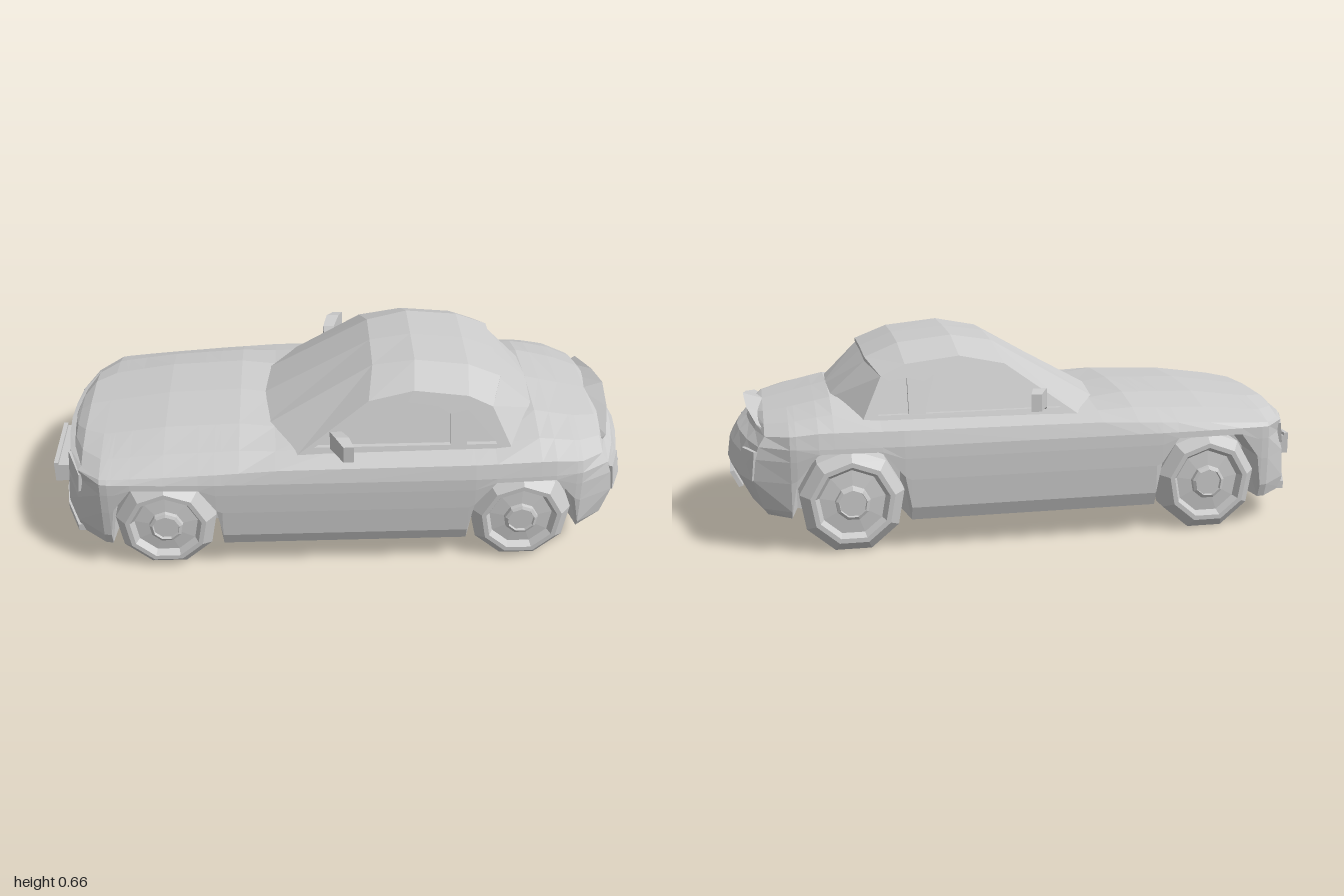
import * as THREE from 'three';

const mat = new THREE.MeshStandardMaterial({ color: 0xcccccc, flatShading: true, side: THREE.DoubleSide });

// Piecewise-linear lookup through [x, y] points
function lerpAt(pts, x) {
  if (x <= pts[0][0]) return pts[0][1];
  for (let i = 1; i < pts.length; i++) {
    const [x0, y0] = pts[i - 1], [x1, y1] = pts[i];
    if (x <= x1) return y0 + ((y1 - y0) * (x - x0)) / (x1 - x0);
  }
  return pts[pts.length - 1][1];
}

function mesh(geo, name) {
  const g = geo.index ? geo.toNonIndexed() : geo;
  g.computeVertexNormals();
  const m = new THREE.Mesh(g, mat);
  m.name = name;
  return m;
}

// Skin over rows of [x, y, z] points, leaving out collapsed triangles
function skin(rows, name) {
  const pos = [];
  const tri = (...p) => {
    const [a, b, c] = p.map((q) => new THREE.Vector3(...q));
    if (b.clone().sub(a).cross(c.clone().sub(a)).length() > 1e-7) pos.push(...p.flat());
  };
  for (let i = 0; i < rows.length - 1; i++) {
    for (let j = 0; j < rows[i].length - 1; j++) {
      const a = rows[i][j], b = rows[i + 1][j], c = rows[i + 1][j + 1], d = rows[i][j + 1];
      tri(a, b, c);
      tri(a, c, d);
    }
  }
  const g = new THREE.BufferGeometry();
  g.setAttribute('position', new THREE.Float32BufferAttribute(pos, 3));
  return mesh(g, name);
}

// Closed solid through loops of points, with both ends capped
function loft(loops, name) {
  const centre = (l) => l.map(() => [0, 1, 2].map((k) => l.reduce((s, p) => s + p[k], 0) / l.length));
  const all = [centre(loops[0]), ...loops, centre(loops[loops.length - 1])];
  return skin(all.map((l) => [...l, l[0]]), name);
}

const slab = (quad, off, name) => loft([quad, quad.map((p) => p.map((v, k) => v + off[k]))], name);

// Body: plan outline, wheel arches, levels and crowned top
const NOSE = -0.985, TAIL = 0.995;
const outline = [
  [NOSE, 0], [-0.978, 0.1], [-0.96, 0.2], [-0.905, 0.33], [-0.8, 0.42], [-0.775, 0.425], [-0.76, 0.426],
  [-0.7, 0.43], [-0.59, 0.435], [-0.475, 0.438], [-0.42, 0.44], [-0.4, 0.44], [-0.34, 0.44], [-0.22, 0.44],
  [0, 0.44], [0.42, 0.44], [0.44, 0.44], [0.51, 0.437], [0.66, 0.43], [0.71, 0.427], [0.78, 0.417],
  [0.8, 0.412], [0.915, 0.35], [0.957, 0.235], [0.985, 0.1], [TAIL, 0],
];
const arch = [
  [-0.775, 0.1], [-0.76, 0.25], [-0.7, 0.33], [-0.475, 0.33], [-0.42, 0.25], [-0.4, 0.1],
  [0.42, 0.1], [0.44, 0.25], [0.51, 0.335], [0.71, 0.335], [0.78, 0.25], [0.8, 0.12],
];
const belt = [[-0.92, 0.355], [-0.2, 0.395], [0.7, 0.4], [0.93, 0.375]];
const crown = [
  [-0.92, 0.37], [-0.88, 0.405], [-0.59, 0.447], [-0.34, 0.455], [-0.22, 0.437], [0, 0.45],
  [0.5, 0.455], [0.66, 0.483], [0.9, 0.427], [0.93, 0.38],
];
// height, nose x, tail x, width factor
const levels = [
  [0.1, -0.965, 0.925, 0.95], [0.145, -0.968, 0.95, 0.99], [0.24, -0.957, 1, 1],
  [0.31, -0.925, 0.99, 1], [0.35, -0.94, 0.965, 0.995], [0, -0.92, 0.93, 0.965],
];
const stretch = (x, nose, tail) =>
  x < -0.8 ? -0.8 + ((x + 0.8) * (nose + 0.8)) / (NOSE + 0.8)
    : x > 0.8 ? 0.8 + ((x - 0.8) * (tail - 0.8)) / (TAIL - 0.8) : x;

function bodySide() {
  const rows = outline.map(([x, z]) => {
    const lip = lerpAt(arch, x), floor = x > 0.75 ? 0.12 : 0.1;
    const side = levels.map(([y, n, t, w], k) => {
      const px = stretch(x, n, t);
      return [px, k === 5 ? lerpAt(belt, px) : Math.max(y, lip), z * w];
    });
    const [fx, , fz] = side[0];
    const inner = lip > floor + 0.01 ? 0.28 : fz;
    const under = [[fx, floor, 0], [fx, floor, inner], [fx, lip, inner]];
    const [bx, by, bz] = side[5];
    const top = [0.8, 0.5, 0].map((f) => [bx, by + (lerpAt(crown, bx) - by) * (1 - f ** 3), bz * f]);
    return [...under, ...side, ...top];
  });
  return skin(rows, 'bodyShell');
}

// Cabin: side wall leans inward with height
const lean = (y) => 0.355 - (y - 0.43) * 0.35;
const rail = [[-0.15, 0.41], [0.09, 0.58], [0.24, 0.61], [0.42, 0.59], [0.5, 0.555], [0.57, 0.41]];

function roof() {
  const mid = [
    [-0.26, 0.42, 0.19], [0.11, 0.635, 0.16], [0.25, 0.66, 0.175],
    [0.43, 0.641, 0.18], [0.54, 0.597, 0.185], [0.68, 0.45, 0.155],
  ];
  const centre = [[-0.285, 0.425], [0.11, 0.642], [0.25, 0.663], [0.43, 0.646], [0.54, 0.602], [0.68, 0.465]];
  const rows = rail.map(([x, y], i) => [[x, y, lean(y)], mid[i], [...centre[i], 0]]);
  // small step down to the rear glass
  rows.splice(5, 0, [rows[4][0], [0.54, 0.583, 0.18], [0.54, 0.588, 0]]);
  return skin(rows, 'roof');
}

const toShape = (pts) => new THREE.Shape(pts.map((p) => new THREE.Vector2(...p)));
const windows = [
  [[-0.09, 0.435], [0.06, 0.545], [0.1, 0.56], [0.22, 0.575], [0.32, 0.56], [0.36, 0.535], [0.36, 0.435]],
  [[0.415, 0.435], [0.415, 0.547], [0.475, 0.54], [0.515, 0.435]],
];

function leanIn(geo, depth) {
  const p = geo.attributes.position;
  for (let i = 0; i < p.count; i++) p.setZ(i, p.getZ(i) + lean(p.getY(i)) - depth);
  return geo;
}

function cabinSide() {
  const g = new THREE.Group();
  g.name = 'cabinSide';
  const frame = toShape(rail);
  frame.holes = windows.map(toShape);
  g.add(mesh(leanIn(new THREE.ExtrudeGeometry(frame, { depth: 0.02, bevelEnabled: false }), 0.02), 'windowFrame'));
  windows.forEach((w) => g.add(mesh(leanIn(new THREE.ShapeGeometry(toShape(w)), 0.016), 'sideWindow')));
  return g;
}

// Wheel: nine-sided tyre, recessed rim and hub in one profile
function wheel(x, name) {
  const profile = [
    [0, 0.305], [0.172, 0.305], [0.172, 0.38], [0.138, 0.415], [0.122, 0.415], [0.108, 0.392],
    [0.058, 0.397], [0.056, 0.41], [0.046, 0.415], [0.044, 0.405], [0, 0.405],
  ].map((p) => new THREE.Vector2(...p));
  const geo = new THREE.LatheGeometry(profile, 9, Math.PI / 9).rotateX(Math.PI / 2);
  const m = mesh(geo, name);
  m.position.set(x, 0.162, 0);
  return m;
}

// Door mirror: arm flaring into a head that sweeps back
function mirror() {
  const sections = [
    [0.335, -0.035, 0, 0.42, 0.455], [0.362, -0.04, 0, 0.437, 0.502],
    [0.42, -0.025, 0.02, 0.455, 0.517], [0.464, 0, 0.035, 0.45, 0.507],
  ];
  return loft(sections.map(([z, x0, x1, y0, y1]) => [[x0, y0, z], [x1, y0, z], [x1, y1, z], [x0, y1, z]]), 'doorMirror');
}

function half() {
  const g = new THREE.Group();
  g.add(bodySide(), roof(), cabinSide(), mirror(), wheel(-0.593, 'frontWheel'), wheel(0.607, 'rearWheel'));
  g.add(slab([[-0.922, 0.27, 0.2], [-0.872, 0.27, 0.335], [-0.865, 0.338, 0.335], [-0.915, 0.342, 0.2]],
    [-0.012, 0, 0.005], 'headlight'));
  g.add(slab([[0.952, 0.24, 0.243], [0.908, 0.24, 0.347], [0.898, 0.335, 0.35], [0.937, 0.328, 0.243]],
    [0.014, 0, 0.006], 'tailLight'));
  // lower bumper lip along the nose
  const lip = [[-0.972, 0], [-0.966, 0.1], [-0.95, 0.2], [-0.9, 0.33]];
  g.add(loft(lip.map(([x, z]) => [[x, 0.1, z], [x + 0.05, 0.1, z], [x + 0.05, 0.125, z], [x, 0.125, z]]), 'bumperLip'));
  return g;
}

export function createModel() {
  const car = new THREE.Group();
  car.name = 'car';
  const left = half(), right = half();
  left.name = 'nearHalf';
  right.name = 'farHalf';
  right.scale.z = -1;
  car.add(left, right);

  // Boot-lid spoiler
  const lip = (z, x, y, s) => [[x - 0.08 * s, y - 0.025, z], [x, y, z], [x - 0.02, y - 0.055 * s, z]];
  car.add(loft([lip(-0.27, 0.9, 0.405, 0.5), lip(-0.13, 0.93, 0.432, 0.9), lip(0, 0.94, 0.453, 1),
    lip(0.13, 0.93, 0.432, 0.9), lip(0.27, 0.9, 0.405, 0.5)], 'spoiler'));

  // Plates front and rear
  car.add(slab([[-0.985, 0.17, -0.13], [-0.985, 0.17, 0.13], [-0.985, 0.245, 0.13], [-0.985, 0.245, -0.13]],
    [-0.015, 0, 0], 'frontPlate'));
  car.add(slab([[-0.94, 0.17, -0.13], [-0.94, 0.17, 0.13], [-0.94, 0.235, 0.13], [-0.94, 0.235, -0.13]],
    [-0.045, 0, 0], 'plateMount'));
  car.add(slab([[0.952, 0.165, 0.14], [0.952, 0.165, -0.14], [0.98, 0.22, -0.14], [0.98, 0.22, 0.14]],
    [0.014, -0.004, 0], 'rearPlate'));
  return car;
}
